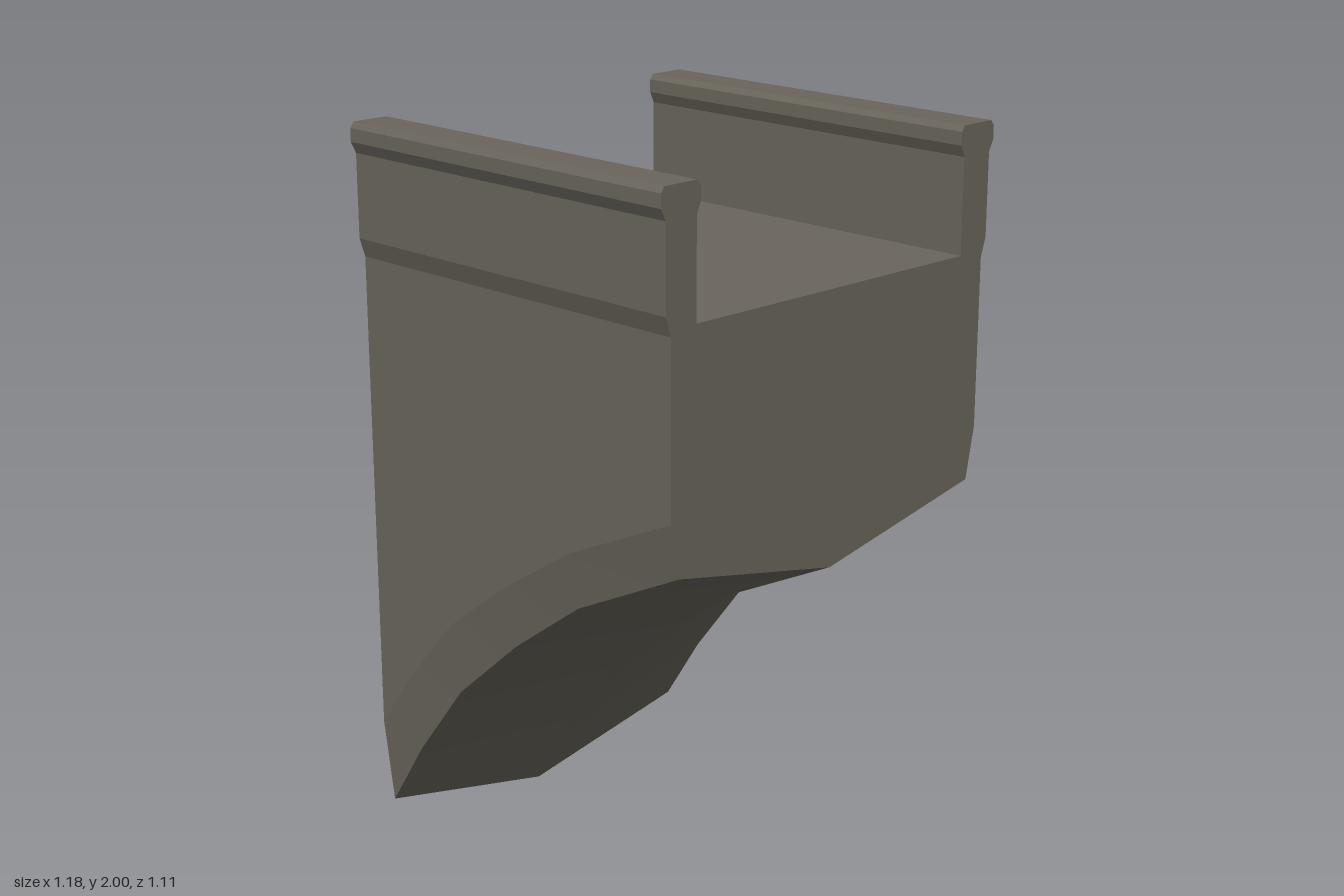
import * as THREE from 'three';
import { mergeGeometries } from 'three/addons/utils/BufferGeometryUtils.js';

const HALF = 0.557; // half length along z

// Underside curve, front to back: z, keel height, height of the side chamfer
const stations = [
  [HALF, 0.95, 0.25],
  [0.204, 0.778, 0.26],
  [-0.03, 0.61, 0.28],
  [-0.257, 0.415, 0.305],
  [-0.43, 0.196, 0.33],
  [-HALF, 0.003, 0.35],
];

// Cross-section, counter-clockwise seen from the front
function section([z, keel, chamfer]) {
  const side = [
    [0.53, keel + 0.108],
    [0.557, keel + chamfer],
    [0.557, 1.65],
    [0.475, 1.667],
  ];
  const mirrored = side.map(([x, y]) => [-x, y]).reverse();
  return [[0, keel], ...side, ...mirrored].map(([x, y]) => [x, y, z]);
}

function makeGeometry(points, index) {
  const g = new THREE.BufferGeometry();
  g.setAttribute('position', new THREE.Float32BufferAttribute(points.flat(), 3));
  g.setIndex(index);
  g.computeVertexNormals();
  return g;
}

// Each strip is smooth along its length, with hard edges between strips
function bodyGeometry() {
  const rings = stations.map(section);
  const n = rings[0].length;
  const parts = [];
  for (let i = 0; i < n; i++) {
    const points = [], index = [];
    rings.forEach((ring, s) => {
      points.push(ring[i], ring[(i + 1) % n]);
      if (s === 0) return;
      const a = 2 * s - 2, b = a + 1, d = a + 2, c = a + 3;
      index.push(a, d, b, b, d, c);
    });
    parts.push(makeGeometry(points, index));
  }
  // Flat front and back ends
  const front = [], back = [];
  for (let i = 1; i < n - 1; i++) {
    front.push(0, i, i + 1);
    back.push(0, i + 1, i);
  }
  parts.push(makeGeometry(rings[0], front));
  parts.push(makeGeometry(rings[rings.length - 1], back));
  return mergeGeometries(parts);
}

// Side wall with a flared foot and a thicker coping
function parapetGeometry(sign) {
  const profile = [
    [0.557, 1.65], [0.573, 1.7], [0.573, 1.92], [0.588, 1.95],
    [0.588, 1.985], [0.577, 2], [0.473, 2], [0.462, 1.985],
    [0.462, 1.95], [0.475, 1.92], [0.475, 1.667],
  ];
  const shape = new THREE.Shape(profile.map(([x, y]) => new THREE.Vector2(sign * x, y)));
  const g = new THREE.ExtrudeGeometry(shape, { depth: 2 * HALF, bevelEnabled: false });
  return g.translate(0, 0, -HALF);
}

export function createModel() {
  const group = new THREE.Group();
  group.name = 'bridgeEndSection';
  const stone = new THREE.MeshStandardMaterial({ color: 0x69655b });
  stone.name = 'grey brown stone';

  const add = (name, geometry) => {
    const mesh = new THREE.Mesh(geometry, stone);
    mesh.name = name;
    group.add(mesh);
  };
  add('archedBody', bodyGeometry());
  add('leftParapet', parapetGeometry(1));
  add('rightParapet', parapetGeometry(-1));
  return group;
}
